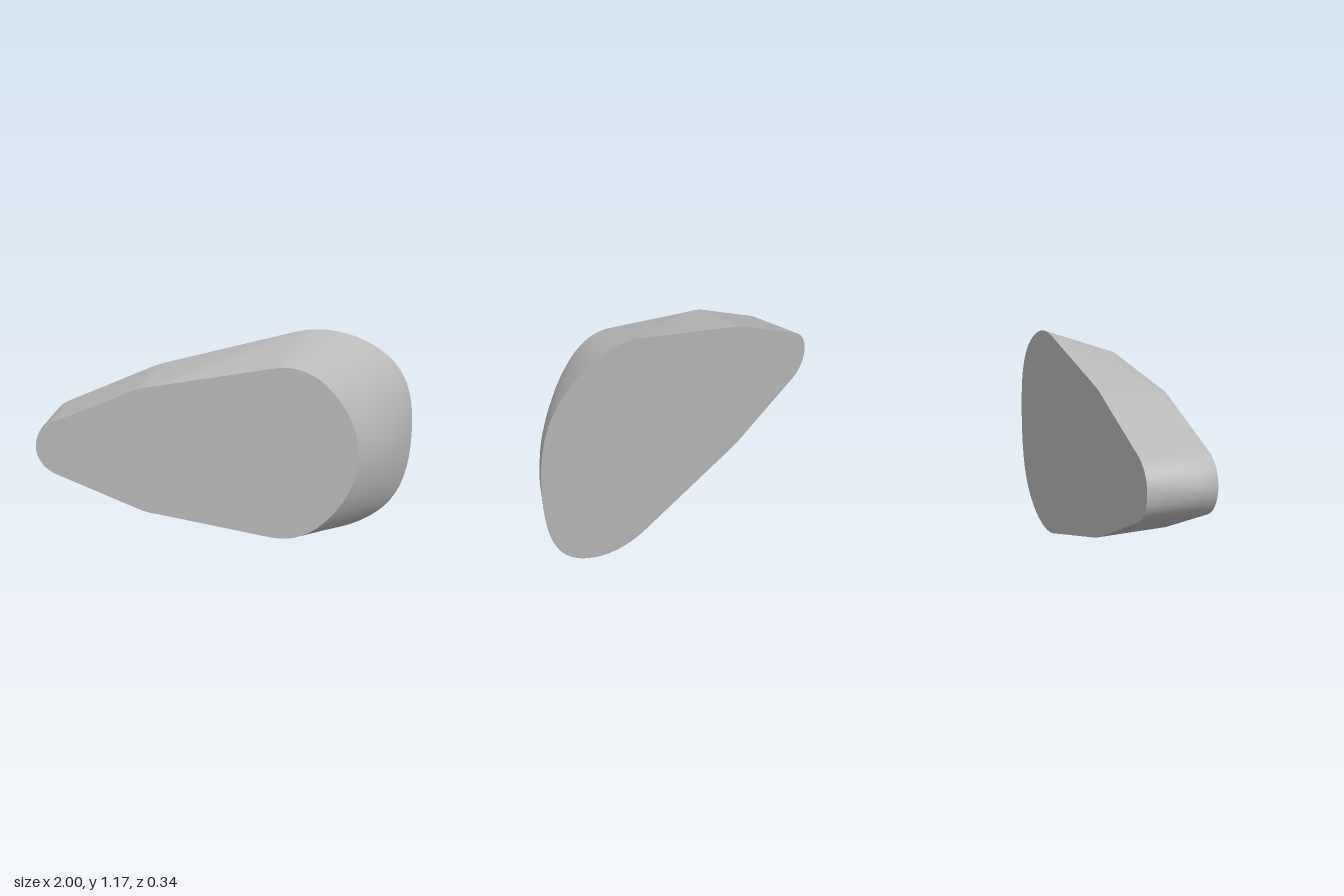
import * as THREE from 'three';
import { toCreasedNormals } from 'three/addons/utils/BufferGeometryUtils.js';

const MID = 0.588, DEPTH = 0.17;
const ROWS = [0, 0.1, 0.25, 0.5, 0.75, 1]; // front to back

// Upper half of an outline, nose to blunt end, as spans of control points
const frontOutline = [
  [[-0.985, 0.588], [-0.985, 0.66], [-0.94, 0.715], [-0.88, 0.738]],
  [[-0.88, 0.738], [-0.45, 0.922]],
  [[-0.45, 0.922], [-0.4, 0.942], [-0.35, 0.947]],
  [[-0.35, 0.947], [0.24, 1.055]],
  [[0.24, 1.055], [0.32, 1.07], [0.4, 1.07], [0.5, 0.995]],
  [[0.5, 0.995], [0.63, 0.88], [0.7, 0.73], [0.7, 0.588]],
];
const backOutline = [
  [[-0.985, 0.588], [-0.985, 0.66], [-0.94, 0.715], [-0.88, 0.74]],
  [[-0.88, 0.74], [-0.45, 0.93]],
  [[-0.45, 0.93], [-0.4, 0.955], [-0.33, 0.975]],
  [[-0.33, 0.975], [0.36, 1.16]],
  [[0.36, 1.16], [0.46, 1.185], [0.58, 1.18], [0.7, 1.13]],
  [[0.7, 1.13], [0.93, 1.03], [1, 0.87], [1, 0.588]],
];

function spanCurve(points) {
  const p = points.map(([x, y]) => new THREE.Vector2(x, y));
  if (p.length === 2) return new THREE.LineCurve(...p);
  return p.length === 3 ? new THREE.QuadraticBezierCurve(...p) : new THREE.CubicBezierCurve(...p);
}

// Columns of points running from the front rim to the back rim
function buildColumns() {
  const columns = [];
  frontOutline.forEach((span, k) => {
    const front = spanCurve(span), back = spanCurve(backOutline[k]);
    const straight = span.length === 2;
    const steps = straight ? ROWS : Array.from({ length: 13 }, (_, i) => i / 12);
    steps.forEach((s, i) => {
      if (k > 0 && i === 0) return;
      columns.push(ROWS.map((v) => {
        let p;
        if (straight) {
          // Two flat facets meeting on the diagonal s = v
          const f0 = front.getPoint(0), b1 = back.getPoint(1);
          const side = s <= v ? back.getPoint(0) : front.getPoint(1);
          const t = Math.min(s, v), e = Math.abs(s - v);
          p = f0.clone().multiplyScalar(1 - t - e).addScaledVector(b1, t).addScaledVector(side, e);
        } else {
          p = front.getPoint(s).lerp(back.getPoint(s), v);
        }
        // Slight swelling of the nose and of the blunt end
        if (k === 0) {
          const bell = v < 0.25 ? Math.sin(v * 2 * Math.PI) : (1 - v) / 0.75;
          p.x -= 0.015 * bell * (1 - s);
        }
        if (k === 5) p.x += 0.1 * v * (1 - v) * s;
        return new THREE.Vector3(p.x, p.y, DEPTH * (1 - 2 * v));
      }));
    });
  });
  return columns;
}

function buildBody() {
  const columns = buildColumns(), positions = [], last = ROWS.length - 1;
  const frontCentre = new THREE.Vector3(0, MID, DEPTH);
  const backCentre = new THREE.Vector3(0, MID, -DEPTH);
  // Every triangle is mirrored to the lower half with its order reversed
  const tri = (a, b, c) => {
    for (const p of [a, b, c]) positions.push(p.x, p.y, p.z);
    for (const p of [a, c, b]) positions.push(p.x, 2 * MID - p.y, p.z);
  };
  for (let i = 0; i < columns.length - 1; i++) {
    const left = columns[i], right = columns[i + 1];
    for (let j = 0; j < last; j++) {
      tri(left[j], right[j], right[j + 1]);
      tri(left[j], right[j + 1], left[j + 1]);
    }
    tri(frontCentre, right[0], left[0]);
    tri(backCentre, left[last], right[last]);
  }
  const geometry = new THREE.BufferGeometry();
  geometry.setAttribute('position', new THREE.Float32BufferAttribute(positions, 3));
  return toCreasedNormals(geometry, 0.55);
}

export function createModel() {
  const group = new THREE.Group();
  group.name = 'taperedBlock';
  const grey = new THREE.MeshStandardMaterial({ color: 0xb8b8b8 });
  grey.name = 'grey';
  const body = new THREE.Mesh(buildBody(), grey);
  body.name = 'body';
  group.add(body);
  return group;
}
